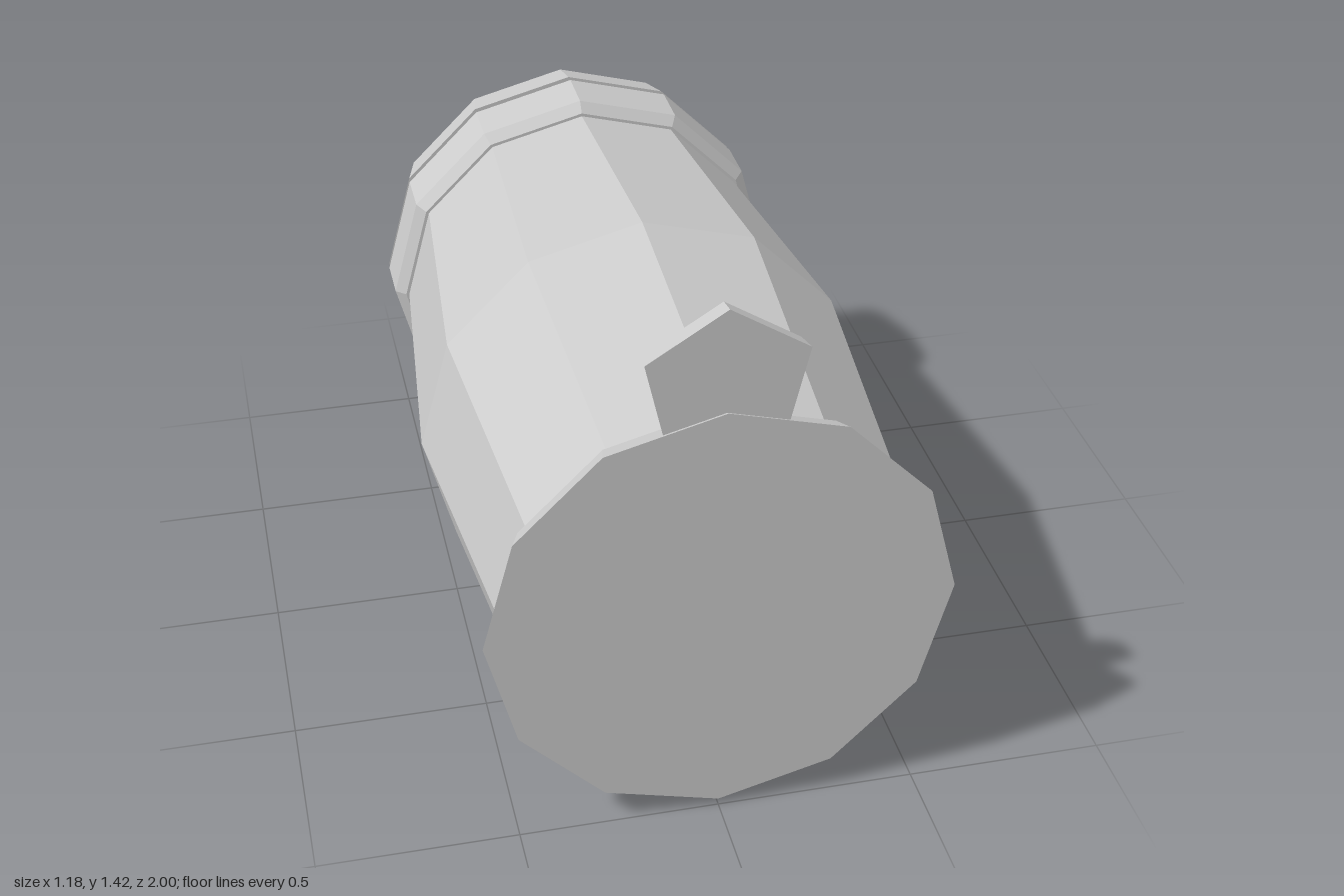
import * as THREE from 'three';

const CENTRE_Y = 0.595;
const material = new THREE.MeshStandardMaterial({ color: 0xcccccc, flatShading: true });

// Twelve-sided turned part lying along z; profile is [radius, z] from back to front.
function turned(name, profile) {
  const points = profile.map(([r, z]) => new THREE.Vector2(r, z));
  const geometry = new THREE.LatheGeometry(points, 12);
  geometry.rotateX(Math.PI / 2);
  const mesh = new THREE.Mesh(geometry, material);
  mesh.name = name;
  mesh.position.y = CENTRE_Y;
  return mesh;
}

// Five-sided thumb tab, slightly smaller towards the back.
function makeTab() {
  const shape = new THREE.Shape([
    [0, 0.23], [-0.19, 0.11], [-0.13, -0.15], [0.13, -0.15], [0.19, 0.11],
  ].map(([x, y]) => new THREE.Vector2(x, y)));
  const geometry = new THREE.ExtrudeGeometry(shape, { depth: 2, steps: 2, bevelEnabled: false });
  const levels = [[0.87, 0.915], [0.95, 0.935], [1, 0.99]]; // [scale, z]
  const p = geometry.attributes.position;
  for (let i = 0; i < p.count; i++) {
    const [s, z] = levels[Math.round(p.getZ(i))];
    p.setXYZ(i, p.getX(i) * s, p.getY(i) * s, z);
  }
  geometry.computeVertexNormals();
  const mesh = new THREE.Mesh(geometry, material);
  mesh.name = 'thumbTab';
  mesh.position.y = 1.2;
  return mesh;
}

export function createModel() {
  const group = new THREE.Group();
  group.name = 'barrelContainer';
  group.add(
    // Bulging barrel
    turned('barrel', [[0, -0.66], [0.515, -0.66], [0.59, 0.13], [0.515, 0.91], [0, 0.91]]),
    // Flared front lid
    turned('frontLid', [[0, 0.91], [0.515, 0.91], [0.545, 0.935], [0.572, 1], [0, 1]]),
    // Collar at the back end
    turned('backCollar', [[0, -0.825], [0.535, -0.825], [0.553, -0.81], [0.553, -0.67], [0.525, -0.645], [0, -0.645]]),
    // Narrow neck showing in the gap
    turned('neck', [[0, -0.86], [0.425, -0.86], [0.425, -0.8], [0, -0.8]]),
    // Domed back cap
    turned('backCap', [[0, -1], [0.27, -0.99], [0.515, -0.967], [0.55, -0.837], [0, -0.837]]),
    makeTab(),
  );
  return group;
}
